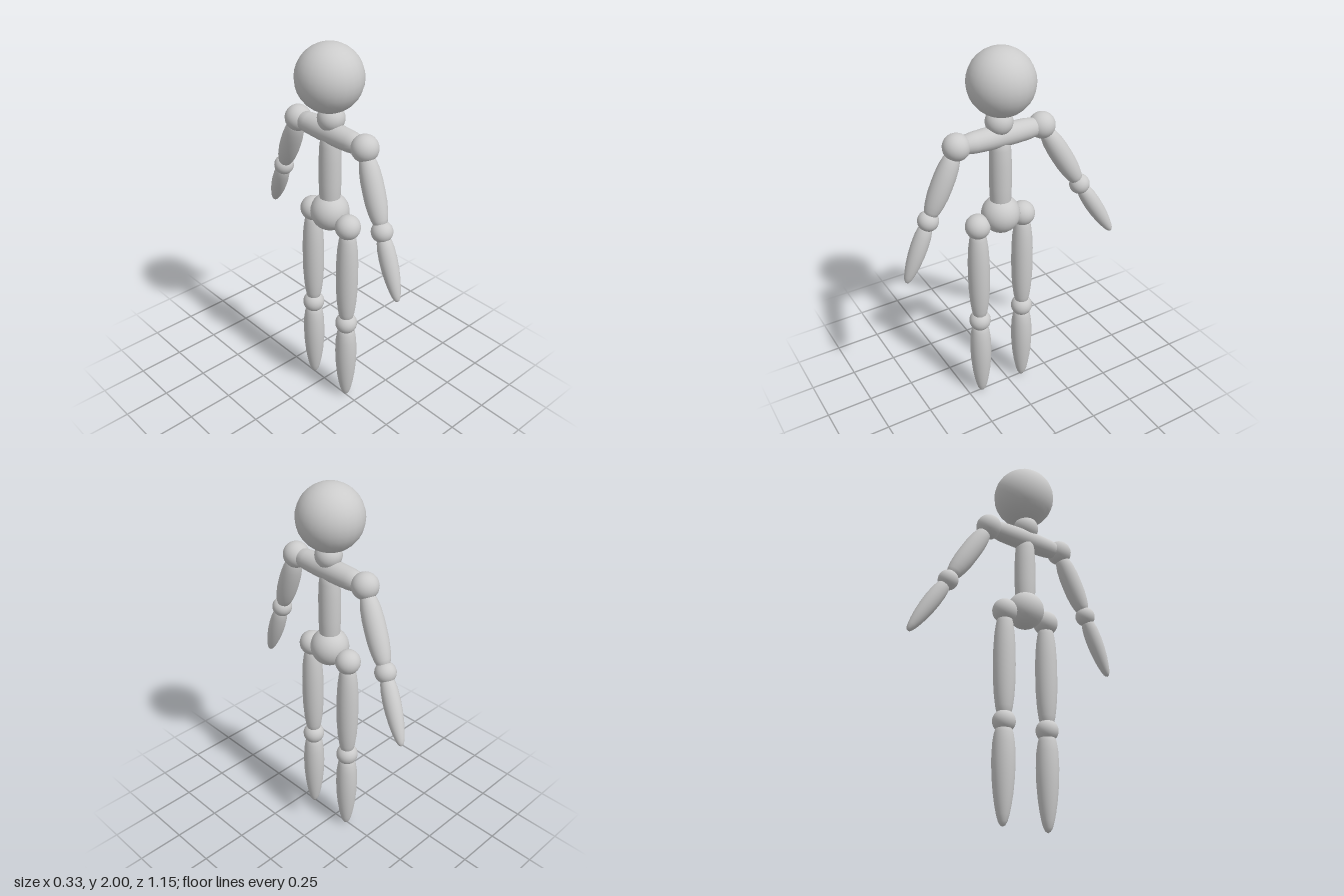
import * as THREE from 'three';

const material = new THREE.MeshStandardMaterial({ color: 0xcccccc });
const V = (x, y, z) => new THREE.Vector3(x, y, z);

// Profiles: [fraction along the segment, fraction of full radius]
const BARREL = [[0, 0], [0.01, 0.45], [0.04, 0.65], [0.1, 0.78], [0.2, 0.91], [0.35, 0.99], [0.5, 1],
  [0.65, 0.98], [0.8, 0.88], [0.9, 0.75], [0.96, 0.62], [0.99, 0.42], [1, 0]];
const TAPERED = [[0, 0], [0.01, 0.45], [0.04, 0.68], [0.1, 0.83], [0.2, 0.95], [0.36, 1], [0.52, 0.96],
  [0.68, 0.84], [0.8, 0.69], [0.89, 0.54], [0.95, 0.39], [0.985, 0.22], [1, 0]];
const COLUMN = [[0, 0], [0.01, 0.6], [0.05, 0.82], [0.15, 0.93], [0.35, 1], [0.65, 1], [0.85, 0.95],
  [0.95, 0.84], [0.99, 0.6], [1, 0]];

export function createModel() {
  const model = new THREE.Group();
  model.name = 'jointedFigure';

  function ball(name, center, radius) {
    const mesh = new THREE.Mesh(new THREE.SphereGeometry(radius, 24, 16), material);
    mesh.name = name;
    mesh.position.copy(center);
    model.add(mesh);
  }

  // Turned segment running from point a to point b
  function segment(name, a, b, radius, profile) {
    const dir = b.clone().sub(a);
    const length = dir.length();
    const points = profile.map(([t, r]) => new THREE.Vector2(r * radius, t * length));
    // Flip the profile's winding by placing it upright from a, so faces point outward
    const mesh = new THREE.Mesh(new THREE.LatheGeometry(points, 24), material);
    mesh.name = name;
    mesh.position.copy(a);
    mesh.quaternion.setFromUnitVectors(V(0, 1, 0), dir.normalize());
    model.add(mesh);
  }

  // Head and trunk
  const mid = 0.042;
  ball('head', V(0, 1.835, 0.035), 0.165);
  ball('neck', V(0, 1.64, 0.048), 0.068);
  segment('shoulderBar', V(0, 1.565, 0.25), V(0, 1.565, -0.165), 0.056, COLUMN);
  segment('torso', V(0, 1.56, mid), V(0, 1.16, mid), 0.056, COLUMN);
  ball('pelvis', V(0, 1.135, mid), 0.099);

  // Arms: each has its own pose
  const arms = [
    { side: 'front', shoulder: V(0, 1.565, 0.277), elbow: V(-0.025, 1.2, 0.43), tip: V(-0.037, 0.872, 0.562) },
    { side: 'back', shoulder: V(0, 1.565, -0.193), elbow: V(0.062, 1.21, -0.392), tip: V(0.128, 0.905, -0.567) },
  ];
  for (const { side, shoulder, elbow, tip } of arms) {
    ball(side + 'Shoulder', shoulder, 0.067);
    segment(side + 'UpperArm', shoulder.clone().lerp(elbow, 0.08), shoulder.clone().lerp(elbow, 0.94), 0.054, BARREL);
    ball(side + 'Elbow', elbow, 0.053);
    segment(side + 'Forearm', elbow.clone().lerp(tip, 0.05), tip, 0.044, TAPERED);
  }

  // Legs
  for (const [side, z] of [['front', 0.174], ['back', -0.087]]) {
    ball(side + 'Hip', V(0, 1.098, z), 0.065);
    segment(side + 'Thigh', V(0, 1.08, z), V(0, 0.52, z), 0.057, BARREL);
    ball(side + 'Knee', V(0, 0.504, z), 0.058);
    segment(side + 'Shin', V(0, 0.49, z), V(0.004, 0, z), 0.058, TAPERED);
  }
  return model;
}
